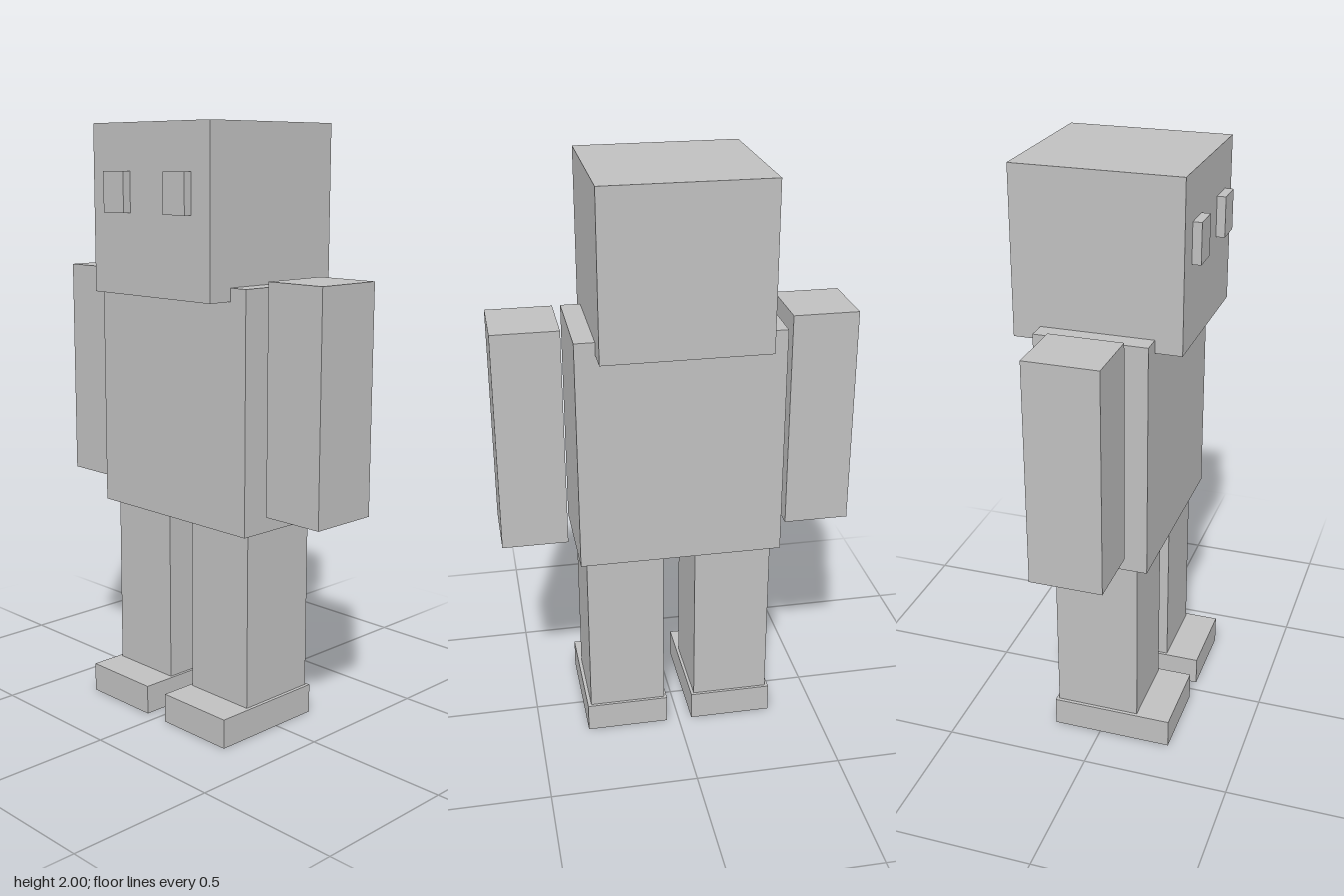
import * as THREE from 'three';

const grey = new THREE.MeshStandardMaterial({ color: 0xc0c0c0 });
grey.name = 'plain grey';

// Box given by its extents along each axis
function block(name, [x0, x1], [y0, y1], [z0, z1]) {
  const mesh = new THREE.Mesh(new THREE.BoxGeometry(x1 - x0, y1 - y0, z1 - z0), grey);
  mesh.position.set((x0 + x1) / 2, (y0 + y1) / 2, (z0 + z1) / 2);
  mesh.name = name;
  return mesh;
}

export function createModel() {
  const model = new THREE.Group();
  model.name = 'blockFigure';
  const midX = -0.002; // the body's symmetry plane

  // Head and torso
  model.add(
    block('head', [midX - 0.276, midX + 0.276], [1.45, 2], [-0.291, 0.26]),
    block('torso', [midX - 0.343, midX + 0.343], [0.7, 1.493], [-0.2, 0.172])
  );

  // Paired parts: distance from the symmetry plane (inner, outer), height, depth
  const pairs = [
    ['Eye', [0.094, 0.193], [1.715, 1.847], [0.26, 0.289]],
    ['Arm', [0.376, 0.597], [0.763, 1.515], [-0.137, 0.107]],
    ['Leg', [0.055, 0.319], [0.1, 0.7], [-0.156, 0.132]],
    ['Foot', [0.045, 0.331], [0, 0.1], [-0.166, 0.25]],
  ];
  for (const [name, [inner, outer], y, z] of pairs) {
    model.add(
      block('left' + name, [midX + inner, midX + outer], y, z),
      block('right' + name, [midX - outer, midX - inner], y, z)
    );
  }
  return model;
}
